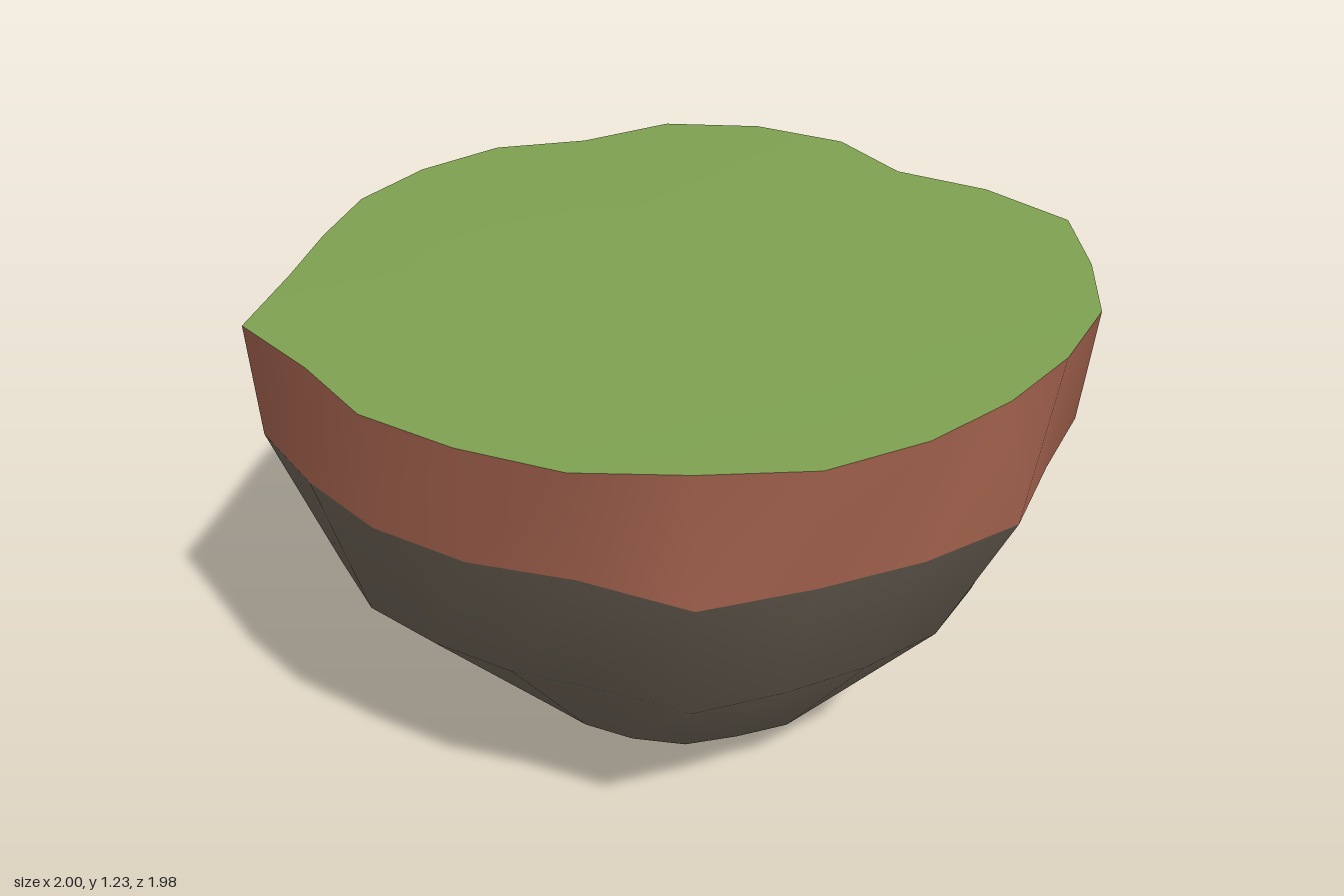
import * as THREE from 'three';
import { toCreasedNormals } from 'three/addons/utils/BufferGeometryUtils.js';

const SIDES = 24;

// Ring radii, starting at the front (+z) and turning towards +x
const RIM = [0.97, 0.96, 0.97, 1.0, 1.0, 1.035, 0.955, 0.865, 0.967, 1.0, 0.995, 0.9,
  0.95, 0.945, 0.935, 0.91, 0.93, 1.033, 0.955, 0.975, 0.965, 0.975, 0.96, 0.985];
const SOIL = [0.985, 1.01, 0.95, 0.97, 0.96, 1.015, 0.975, 0.97, 1.12, 0.985, 0.942, 1.025,
  0.97, 0.945, 1.035, 0.995, 0.97, 1.015, 0.975, 0.965, 0.95, 0.93, 1.02, 0.98];
const BELLY = [0.81, 0.82, 0.8, 0.82, 0.8, 0.84, 0.845, 0.8, 0.85, 0.8, 0.78, 0.763,
  0.77, 0.8, 0.947, 0.85, 0.82, 0.87, 0.86, 0.82, 0.8, 0.79, 0.86, 0.82];
const FOOT = [0.51, 0.5, 0.5, 0.49, 0.5, 0.5, 0.485, 0.49, 0.5, 0.5, 0.49, 0.5,
  0.51, 0.5, 0.51, 0.5, 0.48, 0.48, 0.47, 0.48, 0.49, 0.5, 0.51, 0.5];

const ring = (radii, y) => radii.map((r, i) => {
  const a = (i / SIDES) * Math.PI * 2;
  return [r * Math.sin(a), y, r * Math.cos(a)];
});
const point = (y) => Array.from({ length: SIDES }, () => [0, y, 0]);

// Skin between rings listed from bottom to top; a point closes an end
function loft(rings) {
  const pos = [];
  for (let k = 0; k < rings.length - 1; k++) {
    const lo = rings[k], hi = rings[k + 1];
    for (let i = 0; i < SIDES; i++) {
      const j = (i + 1) % SIDES;
      if (lo[i][0] !== lo[j][0] || lo[i][2] !== lo[j][2]) pos.push(...lo[i], ...lo[j], ...hi[j]);
      if (hi[i][0] !== hi[j][0] || hi[i][2] !== hi[j][2]) pos.push(...lo[i], ...hi[j], ...hi[i]);
    }
  }
  const geo = new THREE.BufferGeometry();
  geo.setAttribute('position', new THREE.Float32BufferAttribute(pos, 3));
  return toCreasedNormals(geo, 0.75);
}

export function createModel() {
  const group = new THREE.Group();
  group.name = 'floatingIsland';

  const rim = ring(RIM, 1.2);
  const soil = ring(SOIL, 0.915);
  const belly = ring(BELLY, 0.53);
  const foot = ring(FOOT, 0.16);

  const add = (name, colorName, color, rings) => {
    const material = new THREE.MeshStandardMaterial({ color });
    material.name = colorName;
    const mesh = new THREE.Mesh(loft(rings), material);
    mesh.name = name;
    group.add(mesh);
  };

  // Slightly domed grass, then earth, rock and the dark tip below
  add('grassTop', 'grass green', 0x7da050, [rim, point(1.225)]);
  add('soilBand', 'earth brown', 0x9a5c49, [soil, rim]);
  add('rockBody', 'stone grey', 0x665d51, [foot, belly, soil]);
  add('darkTip', 'black rock', 0x1c1c1c, [point(0), foot]);

  return group;
}
